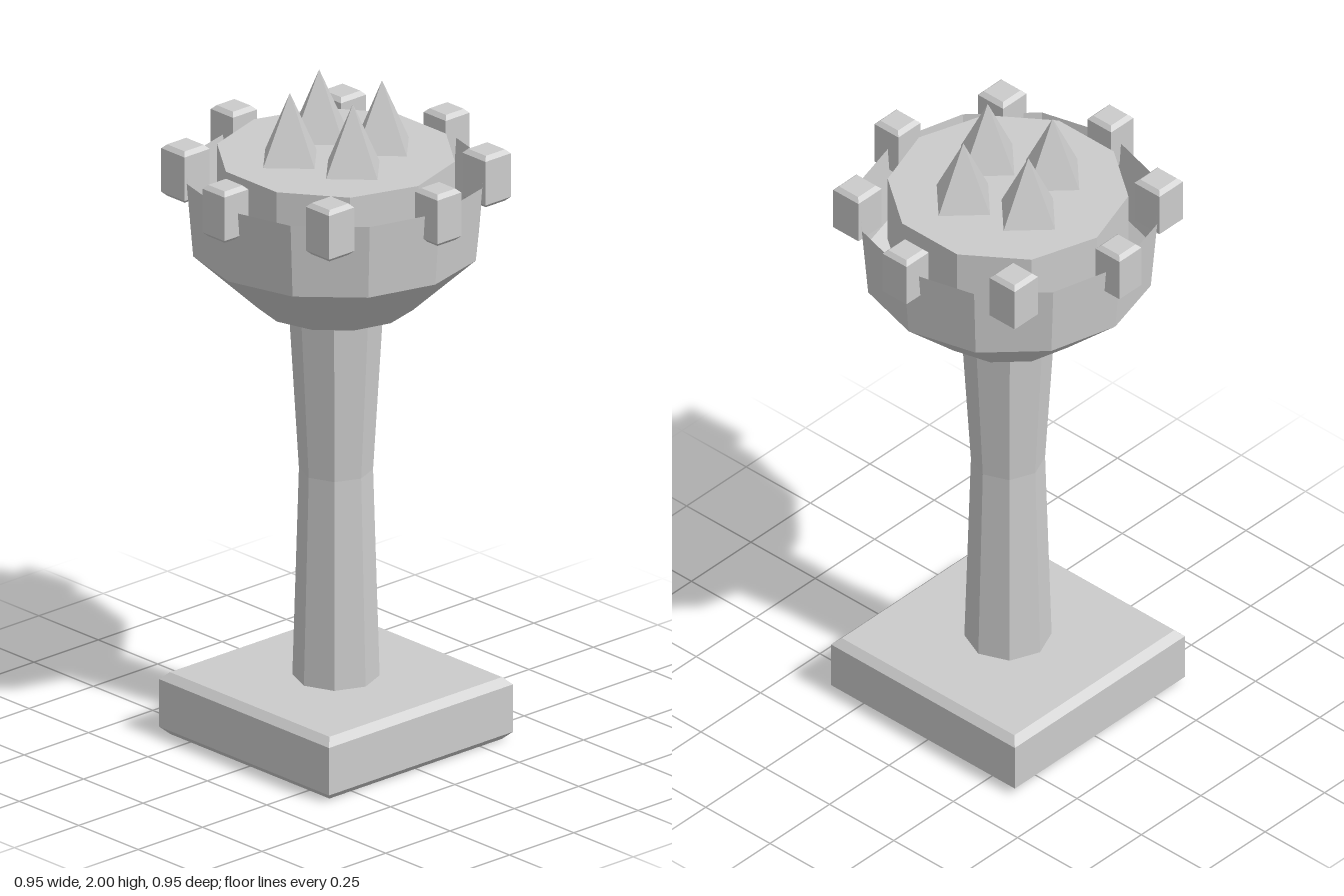
import * as THREE from 'three';

const material = new THREE.MeshStandardMaterial({ color: 0xcccccc, flatShading: true });
const thinMaterial = new THREE.MeshStandardMaterial({
  color: 0xcccccc, flatShading: true, side: THREE.DoubleSide,
});

// Faceted solid of revolution; profile is [radius, y] from the bottom up.
function faceted(name, profile, sides, turn = 0, mat = material) {
  const points = profile.map(([r, y]) => new THREE.Vector2(r, y));
  const mesh = new THREE.Mesh(new THREE.LatheGeometry(points, sides, turn), mat);
  mesh.name = name;
  return mesh;
}

// Square block with chamfered top and bottom edges, standing on y.
function chamferedBlock(name, width, y, height, bevel) {
  const outer = width * Math.SQRT1_2;
  const inner = (width - 2 * bevel) * Math.SQRT1_2;
  return faceted(name, [
    [0, y], [inner, y], [outer, y + bevel],
    [outer, y + height - bevel], [inner, y + height], [0, y + height],
  ], 4, Math.PI / 4);
}

export function createModel() {
  const model = new THREE.Group();
  model.name = 'tower';

  model.add(chamferedBlock('base', 0.715, 0, 0.19, 0.022));

  // Octagonal shaft, narrowest at the waist
  model.add(faceted('shaft', [[0.125, 0.18], [0.106, 0.825], [0.137, 1.35]], 8));

  // Open bowl with a closed underside
  model.add(faceted('bowl', [[0, 1.34], [0.23, 1.34], [0.418, 1.515], [0.437, 1.74]], 12, 0, thinMaterial));

  // Ten-sided platform inside the bowl
  model.add(faceted('platform', [[0, 1.58], [0.346, 1.58], [0.346, 1.797], [0, 1.797]], 10, Math.PI / 2));

  // Eight battlements around the rim, all square to the axes
  const battlements = new THREE.Group();
  battlements.name = 'battlements';
  for (let i = 0; i < 8; i++) {
    const angle = (i * Math.PI) / 4;
    const block = chamferedBlock('battlement', i % 2 ? 0.098 : 0.093, 1.657, 0.158, 0.012);
    block.position.set(0.43 * Math.sin(angle), 0, 0.43 * Math.cos(angle));
    battlements.add(block);
  }
  model.add(battlements);

  // Four pyramid spikes in a pinwheel
  const spikes = new THREE.Group();
  spikes.name = 'spikes';
  for (let i = 0; i < 4; i++) {
    const angle = (i * Math.PI) / 2 + Math.atan2(0.054, 0.129);
    const spike = new THREE.Mesh(new THREE.ConeGeometry(0.104, 0.203, 4), material);
    spike.name = 'spike';
    spike.position.set(0.14 * Math.cos(angle), 1.8985, 0.14 * Math.sin(angle));
    spikes.add(spike);
  }
  model.add(spikes);

  return model;
}
